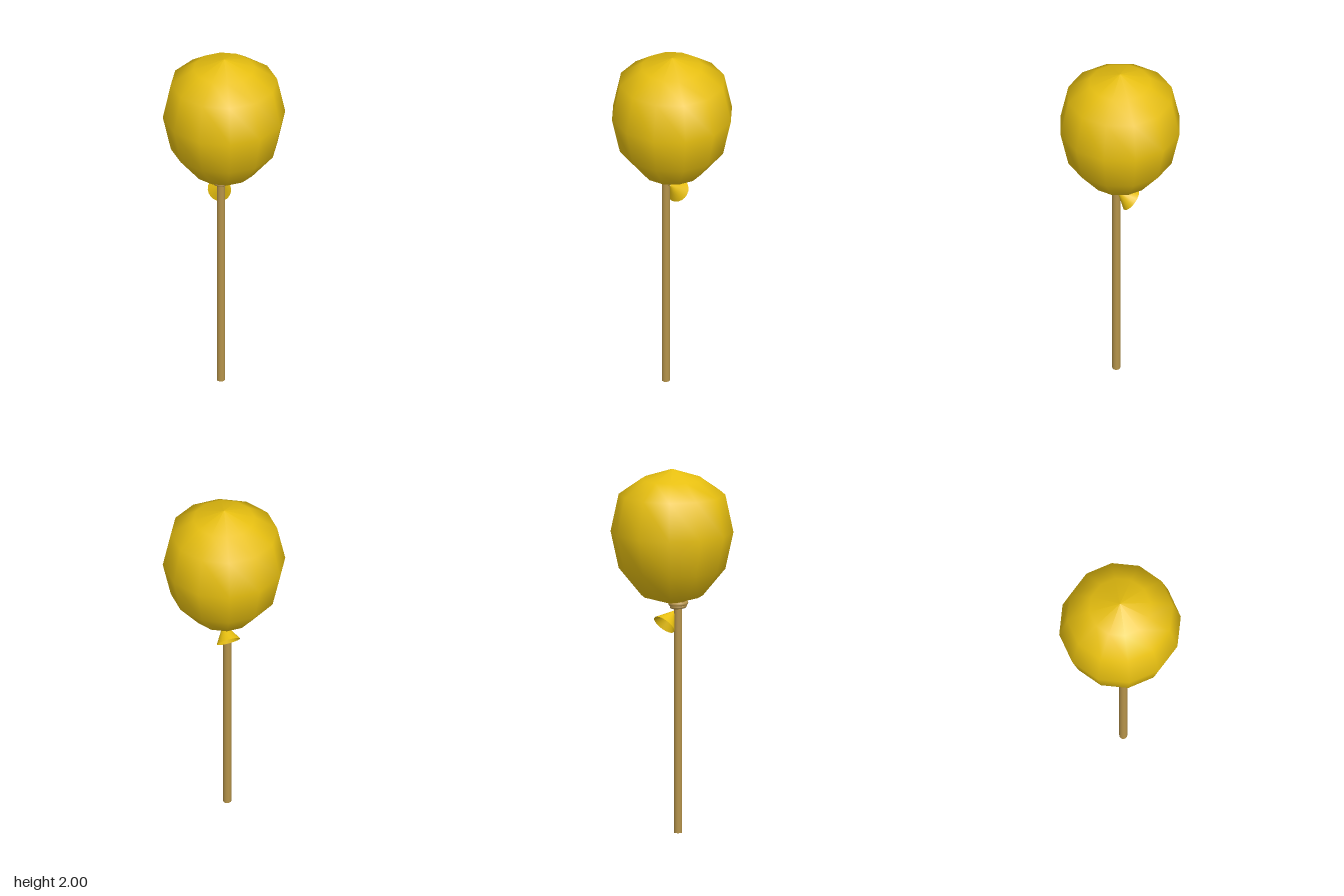
import * as THREE from 'three';

export function createModel() {
  const model = new THREE.Group();
  model.name = 'balloonOnStick';

  const yellow = new THREE.MeshStandardMaterial({ color: 0xe8c010 });
  yellow.name = 'balloon yellow';
  yellow.side = THREE.DoubleSide;
  const tan = new THREE.MeshStandardMaterial({ color: 0xb5934a });
  tan.name = 'stick tan';

  const add = (name, geometry, material) => {
    const mesh = new THREE.Mesh(geometry, material);
    mesh.name = name;
    model.add(mesh);
    return mesh;
  };

  // Twelve-sided balloon, slightly flattened at the crown
  const profile = [
    [0, 1.255], [0.167, 1.305], [0.289, 1.453], [0.333, 1.655],
    [0.289, 1.86], [0.167, 1.945], [0, 2],
  ].map(([r, y]) => new THREE.Vector2(r, y));
  add('balloon', new THREE.LatheGeometry(profile, 12), yellow);

  // Straight stick, set a little forward of the balloon's axis
  const stickX = -0.004, stickZ = 0.033;
  add('stick', new THREE.CylinderGeometry(0.022, 0.022, 1.26, 16), tan)
    .position.set(stickX, 0.63, stickZ);

  // Cord wound around the neck, tightening downwards
  const coil = [];
  for (let i = 0; i <= 24; i++) {
    const t = i / 24, a = t * Math.PI * 4, r = 0.046 - 0.014 * t;
    coil.push(new THREE.Vector3(
      stickX + r * Math.cos(a), 1.268 - 0.03 * t, stickZ + r * Math.sin(a)));
  }
  add('neckCord', new THREE.TubeGeometry(new THREE.CatmullRomCurve3(coil), 64, 0.011, 8), tan);

  // Open flared mouthpiece hanging back and to the right of the stick
  const axis = new THREE.Vector3(-0.53, -0.66, -0.53).normalize();
  const flare = [[0.004, 0], [0.025, 0.035], [0.05, 0.075], [0.066, 0.1]]
    .map(([r, y]) => new THREE.Vector2(r, y));
  const mouth = add('mouthpiece', new THREE.LatheGeometry(flare, 20), yellow);
  mouth.position.set(0.008, 1.216, 0.013);
  mouth.quaternion.setFromUnitVectors(new THREE.Vector3(0, 1, 0), axis);

  return model;
}
